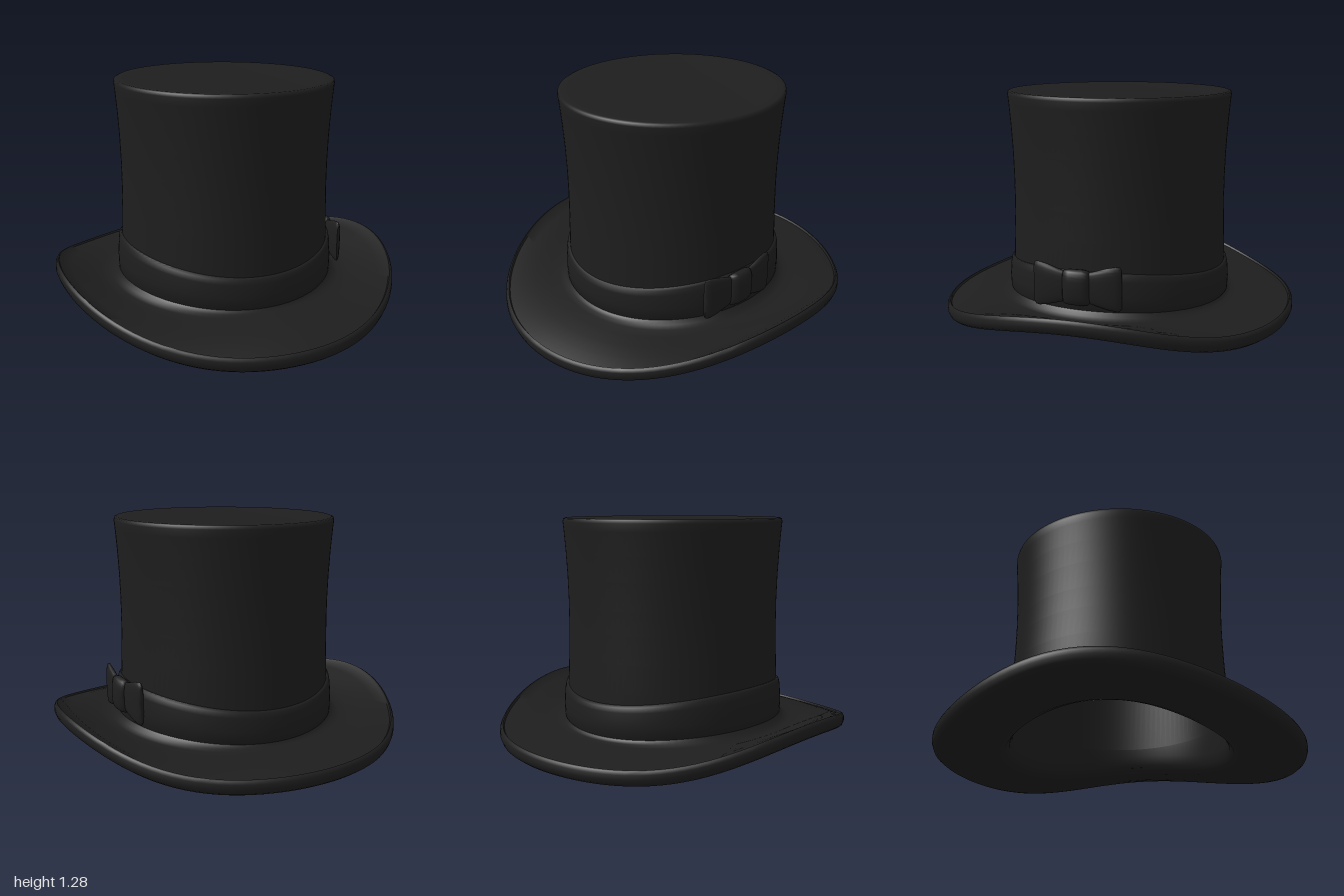
import * as THREE from 'three';
import { toCreasedNormals } from 'three/addons/utils/BufferGeometryUtils.js';

const felt = new THREE.MeshStandardMaterial({ color: 0x1e1e1e });
felt.name = 'black felt';
const DEPTH = 1.03; // the hat is slightly longer than wide
const mix = THREE.MathUtils.lerp;

// Revolved surface whose profile [[radius, height], ...] may change with the angle
function sweep(name, profileAt, crease = 0.9, segments = 112) {
  const pos = [], index = [];
  const rows = profileAt(0).length;
  for (let i = 0; i < segments; i++) {
    const a = (i / segments) * Math.PI * 2;
    for (const [r, y] of profileAt(a)) pos.push(r * Math.sin(a), y, r * Math.cos(a) * DEPTH);
  }
  for (let i = 0; i < segments; i++) {
    const n = (i + 1) % segments;
    for (let j = 0; j < rows - 1; j++) {
      const a = i * rows + j, b = n * rows + j;
      index.push(a, b, b + 1, a, b + 1, a + 1);
    }
  }
  const geo = new THREE.BufferGeometry();
  geo.setAttribute('position', new THREE.Float32BufferAttribute(pos, 3));
  geo.setIndex(index);
  const mesh = new THREE.Mesh(toCreasedNormals(geo, crease), felt);
  mesh.name = name;
  return mesh;
}

// Brim: low at front and back, curled up at the sides, with a rolled edge
function brimProfile(a) {
  const s = Math.abs(Math.sin(a)), f = (1 + Math.cos(a)) / 2;
  const base = mix(0.056, 0.004, f);
  const edge = base + (0.198 - base) * Math.pow(s, 5 - 2 * f);
  const inBase = mix(0.065, 0.052, f);
  const under = inBase + (0.155 - inBase) * Math.pow(s, 3);
  const top = 0.145 + 0.018 * s * s;
  const rim = edge + 0.08;
  const fillet = 0.012 + 0.025 * s * s;
  return [
    [0.565, 0.3], [0.568, under + 0.1], [0.578, under + 0.045], [0.6, under + 0.015], [0.64, under],
    [0.71, mix(under, edge, 0.12)], [0.8, mix(under, edge, 0.38)], [0.87, mix(under, edge, 0.72)],
    [0.92, edge], [0.945, edge + 0.004], [0.961, edge + 0.017], [0.97, edge + 0.042],
    [0.969, edge + 0.066], [0.962, edge + 0.081], [0.953, edge + 0.085], [0.946, edge + 0.074],
    [0.88, mix(top, rim, 0.7)], [0.8, mix(top, rim, 0.38)], [0.72, mix(top, rim, 0.12)],
    [0.66, top], [0.63, top + fillet * 0.4], [0.612, top + fillet], [0.59, top + 0.06],
  ];
}

// Ribbon band, rising a little at the sides
function bandProfile(a) {
  const s2 = Math.sin(a) ** 2;
  const lo = 0.158 + 0.03 * s2, hi = 0.335 + 0.07 * s2;
  return [
    [0.585, lo], [0.604, lo], [0.612, lo + 0.012], [0.614, mix(lo, hi, 0.4)],
    [0.609, mix(lo, hi, 0.8)], [0.603, hi - 0.01], [0.595, hi], [0.575, hi],
  ];
}

// Padded bow piece: rounded cross-sections stacked along z
// stations: [z, centre x, half height, half thickness]
function bowPiece(name, stations) {
  const pos = [], index = [], n = 24, cy = 0.325;
  for (const [z, x, h, t] of stations) {
    for (let k = 0; k < n; k++) {
      const a = (k / n) * Math.PI * 2, c = Math.cos(a), s = Math.sin(a);
      pos.push(x + t * Math.sign(c) * Math.abs(c) ** 0.8, cy + h * Math.sign(s) * Math.abs(s) ** 0.7, z);
    }
  }
  const last = stations.length - 1;
  for (let j = 0; j < last; j++) {
    for (let k = 0; k < n; k++) {
      const a = j * n + k, b = j * n + ((k + 1) % n);
      index.push(a, b, b + n, a, b + n, a + n);
    }
  }
  for (let k = 1; k < n - 1; k++) {
    index.push(0, k + 1, k, last * n, last * n + k, last * n + k + 1);
  }
  const geo = new THREE.BufferGeometry();
  geo.setAttribute('position', new THREE.Float32BufferAttribute(pos, 3));
  geo.setIndex(index);
  const mesh = new THREE.Mesh(toCreasedNormals(geo, 0.9), felt);
  mesh.name = name;
  return mesh;
}

export function createModel() {
  const hat = new THREE.Group();
  hat.name = 'topHat';

  // Flared crown with a flat, softly edged top
  const crown = [
    [0.592, 0.17], [0.588, 0.4], [0.582, 0.55], [0.579, 0.7], [0.579, 0.82], [0.583, 0.97],
    [0.59, 1.1], [0.599, 1.22], [0.603, 1.262], [0.6, 1.278], [0.588, 1.283], [0.55, 1.281], [0, 1.28],
  ];
  // Hollow inside, facing inward
  const lining = [[0, 1.262], [0.565, 1.262], [0.582, 1.24], [0.575, 1.1], [0.566, 0.95], [0.563, 0.7], [0.565, 0.3]];

  hat.add(
    sweep('crown', () => crown, 1.2),
    sweep('lining', () => lining),
    sweep('brim', brimProfile),
    sweep('band', bandProfile),
  );

  // Bow on the left side: two flared loops and a knot
  const bow = new THREE.Group();
  bow.name = 'bow';
  const loop = [
    [0, 0.612, 0.07, 0.014], [0.06, 0.613, 0.08, 0.016], [0.1, 0.612, 0.092, 0.021],
    [0.16, 0.607, 0.11, 0.023], [0.205, 0.602, 0.119, 0.02], [0.225, 0.599, 0.117, 0.015],
    [0.235, 0.597, 0.105, 0.008],
  ];
  bow.add(
    bowPiece('frontLoop', loop),
    bowPiece('backLoop', loop.map(([z, x, h, t]) => [-z, x, h, t]).reverse()),
    bowPiece('knot', [
      [-0.072, 0.612, 0.078, 0.02], [-0.064, 0.617, 0.09, 0.03], [-0.035, 0.62, 0.095, 0.038],
      [0.035, 0.62, 0.095, 0.038], [0.064, 0.617, 0.09, 0.03], [0.072, 0.612, 0.078, 0.02],
    ]),
  );
  bow.position.z = 0.06;
  hat.add(bow);
  return hat;
}
